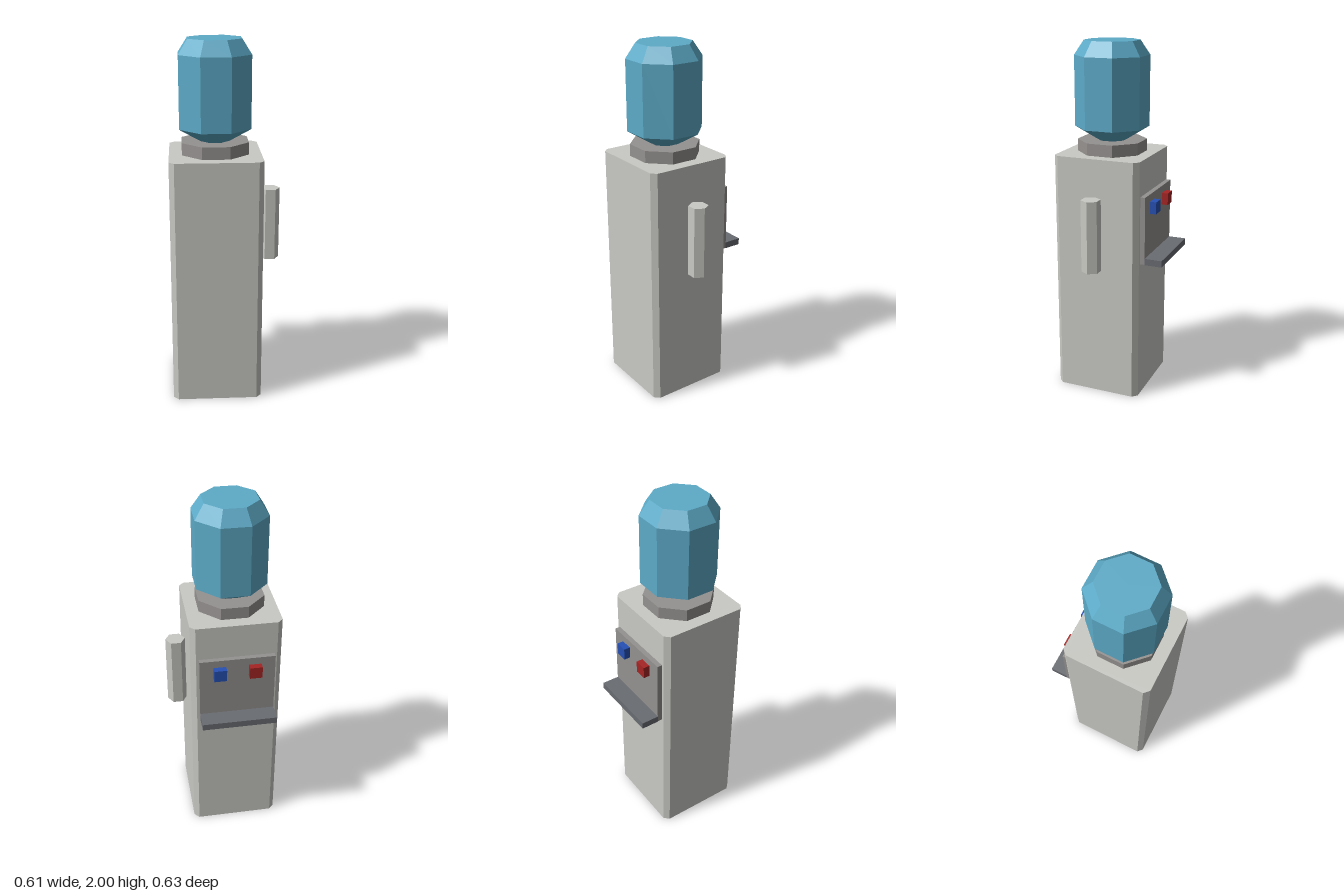
import * as THREE from 'three';

const paint = (name, color) => {
  const m = new THREE.MeshStandardMaterial({ color, flatShading: true });
  m.name = name;
  return m;
};

export function createModel() {
  const model = new THREE.Group();
  model.name = 'waterCooler';
  const casing = paint('casing grey', 0xc9c9c4);
  const trim = paint('trim grey', 0x959290);
  const dark = paint('tray grey', 0x696c72);
  const water = paint('water blue', 0x5dabc8);
  const red = paint('hot red', 0xa62424);
  const blue = paint('cold blue', 0x2650b4);

  const cx = -0.057, cz = 0.062; // axis of the cabinet and bottle
  const add = (name, geometry, material, x, y, z) => {
    const mesh = new THREE.Mesh(geometry, material);
    mesh.name = name;
    mesh.position.set(x, y, z);
    model.add(mesh);
    return mesh;
  };
  // box given by its limits on each axis
  const box = (name, material, [x0, x1], [y0, y1], [z0, z1]) =>
    add(name, new THREE.BoxGeometry(x1 - x0, y1 - y0, z1 - z0), material,
      (x0 + x1) / 2, (y0 + y1) / 2, (z0 + z1) / 2);

  // cabinet with chamfered upright edges
  const h = 0.25, c = h - 0.028;
  const outline = new THREE.Shape([
    [-c, -h], [c, -h], [h, -c], [h, c], [c, h], [-c, h], [-h, c], [-h, -c],
  ].map(([x, y]) => new THREE.Vector2(x, y)));
  const cabinet = new THREE.ExtrudeGeometry(outline, { depth: 1.39, bevelEnabled: false });
  cabinet.rotateX(-Math.PI / 2);
  add('cabinet', cabinet, casing, cx, 0, cz);

  // octagonal collar and bottle; widths are measured across the flats
  const oct = 1 / Math.cos(Math.PI / 8);
  const collar = new THREE.CylinderGeometry(0.18 * oct, 0.18 * oct, 0.067, 8);
  collar.rotateY(Math.PI / 8);
  add('collar', collar, trim, cx, 1.4235, cz);

  const profile = [[0, 1.445], [0.06, 1.445], [0.192, 1.53], [0.192, 1.92], [0.142, 2], [0, 2]]
    .map(([r, y]) => new THREE.Vector2(r * oct, y));
  add('bottle', new THREE.LatheGeometry(profile, 8, Math.PI / 8), water, cx, 0, cz);

  // hexagonal cup holder on the left side
  const cups = new THREE.CylinderGeometry(0.055, 0.055, 0.41, 6);
  cups.rotateY(Math.PI / 2);
  add('cupHolder', cups, casing, 0.249, 0.975, 0.061);

  // dispensing panel, drip tray and taps on the back
  box('panel', trim, [-0.265, 0.151], [0.812, 1.195], [-0.216, -0.188]);
  box('dripTray', dark, [-0.265, 0.151], [0.81, 0.847], [-0.315, -0.216]);
  box('hotTap', red, [-0.188, -0.119], [1.085, 1.153], [-0.252, -0.216]);
  box('coldTap', blue, [0.006, 0.075], [1.085, 1.153], [-0.252, -0.216]);

  return model;
}
